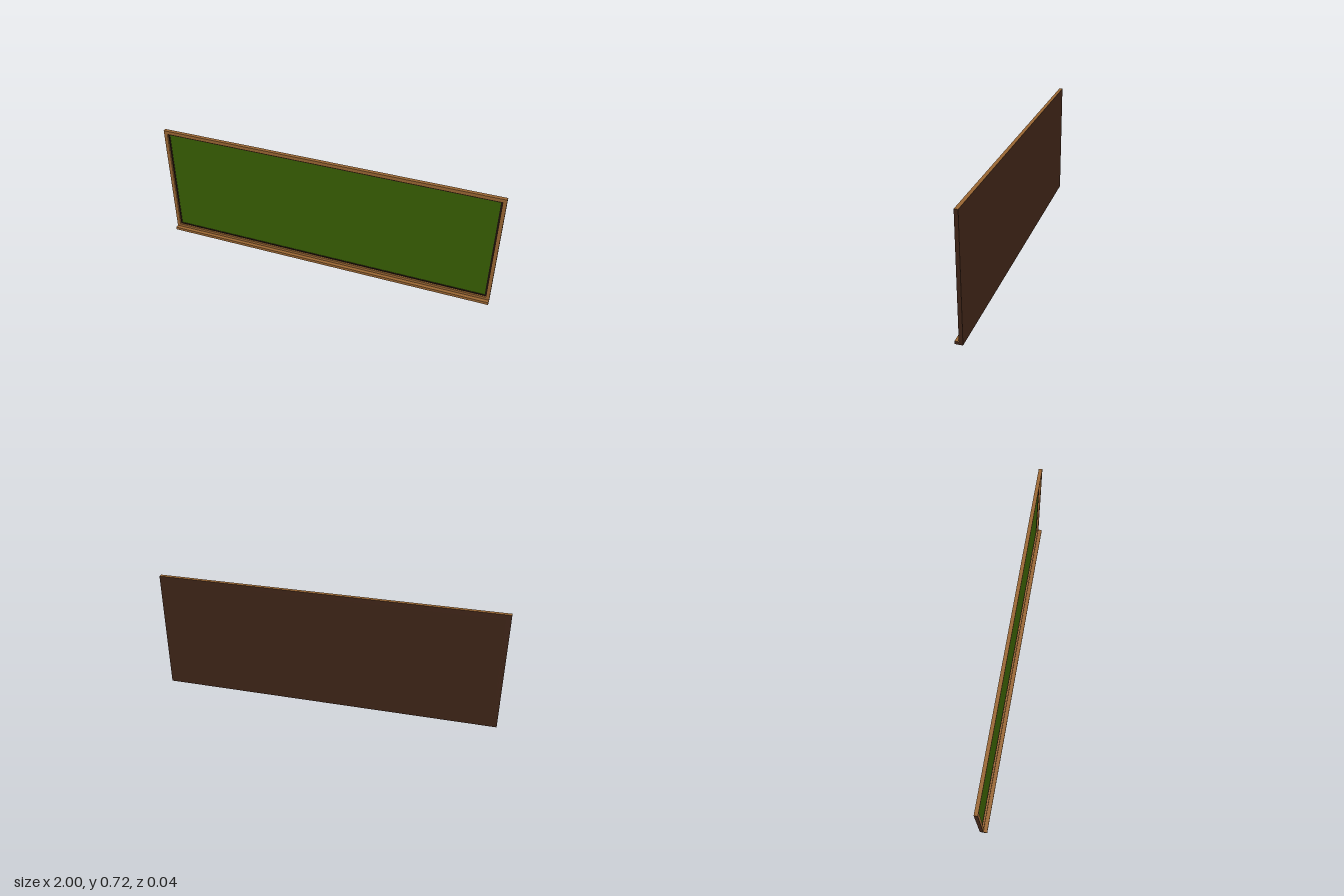
import * as THREE from 'three';

function flat(name, color) {
  const material = new THREE.MeshStandardMaterial({ color });
  material.name = name;
  return material;
}

const wood = flat('wood', 0x9c6834);
const darkWood = flat('darkWood', 0x3f2518);
const shadowWood = flat('blackWood', 0x1c100a);
const black = flat('black', 0x000000);
const green = flat('boardGreen', 0x3a6102);

// Box given by its limits; materials follow the order +x, -x, +y, -y, +z, -z
function block(name, [x0, x1], [y0, y1], [z0, z1], material) {
  const mesh = new THREE.Mesh(new THREE.BoxGeometry(x1 - x0, y1 - y0, z1 - z0), material);
  mesh.position.set((x0 + x1) / 2, (y0 + y1) / 2, (z0 + z1) / 2);
  mesh.name = name;
  return mesh;
}

// Four bars round a rectangular opening; the side bars have their own inner faces
function border(name, halfWidth, bottom, top, side, sill, depth, trim, innerFace) {
  const group = new THREE.Group();
  group.name = name;
  const inner = halfWidth - side;
  const [outer, , ...rest] = trim;
  group.add(
    block(name + 'Top', [-halfWidth, halfWidth], [top - side, top], depth, trim),
    block(name + 'Bottom', [-halfWidth, halfWidth], [bottom, bottom + sill], depth, trim),
    block(name + 'Left', [inner, halfWidth], [bottom + sill, top - side], depth, [outer, innerFace, ...rest]),
    block(name + 'Right', [-halfWidth, -inner], [bottom + sill, top - side], depth, [innerFace, outer, ...rest])
  );
  return group;
}

export function createModel() {
  const model = new THREE.Group();
  model.name = 'chalkboard';

  // Light wood on the top and front, dark wood on the sides and back, black below
  const trim = [darkWood, darkWood, wood, black, wood, darkWood];
  const lipTrim = [darkWood, darkWood, darkWood, black, shadowWood, darkWood];
  const height = 0.717;
  const back = -0.021;

  // Outer frame, with a dark lip stepped back inside it
  model.add(border('frame', 1, 0, height, 0.021, 0.033, [back, 0], trim, wood));
  model.add(border('innerLip', 0.979, 0.033, height - 0.021, 0.009, 0.008, [back, -0.01], lipTrim, darkWood));

  // Recessed writing surface and its backing
  model.add(block('backPanel', [-0.97, 0.97], [0.041, 0.687], [back, -0.016], darkWood));
  model.add(block('writingSurface', [-0.97, 0.97], [0.041, 0.687], [-0.016, -0.013], green));

  // Chalk tray along the bottom
  model.add(block('chalkTray', [-1, 1], [0, 0.017], [0, 0.022], trim));
  return model;
}
